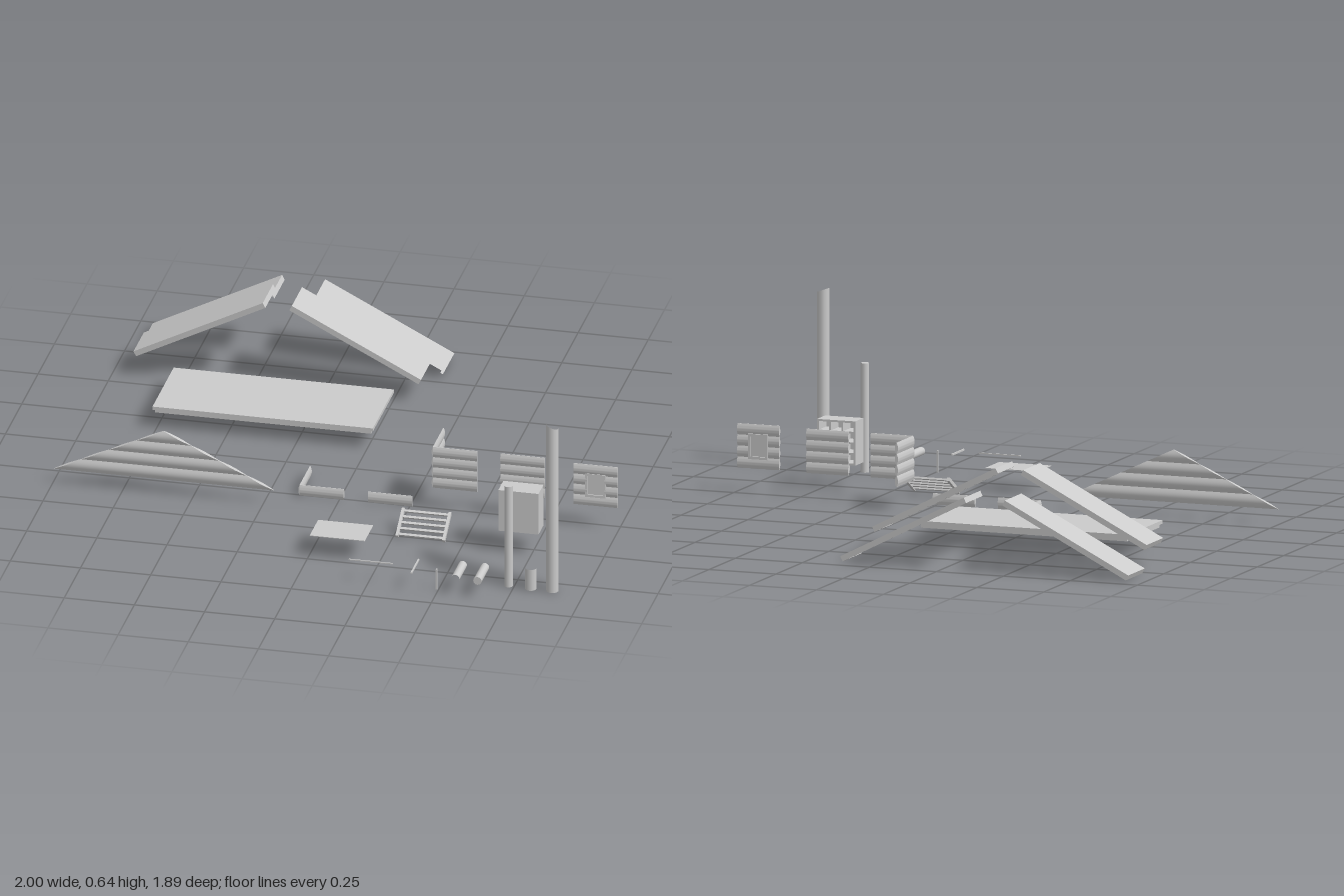
import * as THREE from 'three';
import { toCreasedNormals } from 'three/addons/utils/BufferGeometryUtils.js';

const material = new THREE.MeshStandardMaterial({ color: 0xcccccc });
const thinMaterial = new THREE.MeshStandardMaterial({ color: 0xcccccc, side: THREE.DoubleSide });

function add(parent, name, geometry, x = 0, y = 0, z = 0, mat = material) {
  const mesh = new THREE.Mesh(geometry, mat);
  mesh.name = name;
  mesh.position.set(x, y, z);
  parent.add(mesh);
  return mesh;
}

function group(parent, name, x = 0, y = 0, z = 0) {
  const g = new THREE.Group();
  g.name = name;
  g.position.set(x, y, z);
  parent.add(g);
  return g;
}

const box = (w, h, d) => new THREE.BoxGeometry(w, h, d);

// Box whose +z end is left open
function boxOpenFront(w, h, d) {
  const g = box(w, h, d);
  const index = Array.from(g.index.array);
  index.splice(24, 6);
  g.clearGroups();
  g.setIndex(index);
  return g;
}

// Stack of lens-shaped logs running along x from 0, bottom at y = 0
function logStack(length, rows, rowHeight, bulge = 0.006, taper = false) {
  const pts = [];
  const steps = 8;
  const core = 0.0012;
  for (let i = 0; i <= rows * steps; i++) {
    const t = (i % steps) / steps;
    pts.push(new THREE.Vector2(core + (bulge - core) * Math.sin(Math.PI * t), (i / steps) * rowHeight));
  }
  const mirrored = pts.map((p) => new THREE.Vector2(-p.x, p.y)).reverse();
  const g = new THREE.ExtrudeGeometry(new THREE.Shape([...pts, ...mirrored]), { depth: length, bevelEnabled: false });
  g.rotateY(Math.PI / 2);
  if (taper) {
    // Pull both ends in towards the ridge
    const p = g.attributes.position;
    const height = rows * rowHeight;
    for (let i = 0; i < p.count; i++) {
      const k = 1 - p.getY(i) / height;
      p.setX(i, length / 2 + (p.getX(i) - length / 2) * k);
    }
  }
  return toCreasedNormals(g, 0.5);
}

// Plate with a raised rim under its edges
function rimmedPanel(parent, name, w, d, t, inset, openFront) {
  const g = group(parent, name);
  const make = openFront ? boxOpenFront : box;
  const rim = 0.01;
  const half = t / 2;
  add(g, 'panelPlate', make(w, half, d), 0, half / 2, 0);
  for (const s of [-1, 1]) {
    add(g, 'panelSideRim', make(rim, half, d - 2 * inset), s * (w / 2 - inset - rim / 2), -half / 2, 0);
    if (s < 0 || !openFront) {
      add(g, 'panelEndRim', box(w - 2 * inset - 2 * rim, half, rim), 0, -half / 2, s * (d / 2 - inset - rim / 2));
    }
  }
  return g;
}

function roofPanels(model) {
  const slope = THREE.MathUtils.degToRad(27);
  const panels = [
    [-0.71, 0.13, -0.868, 1, true], [-0.105, 0.13, -0.868, -1, true],
    [-0.69, 0.2, -0.643, 1, false], [-0.135, 0.2, -0.643, -1, false],
  ];
  for (const [x, y, z, side, open] of panels) {
    const p = rimmedPanel(model, side > 0 ? 'roofPanelRising' : 'roofPanelFalling', 0.517, 0.157, 0.02, 0, open);
    p.position.set(x, y, z);
    p.rotation.z = side * slope;
  }
}

// Straight run plus optional return towards the back
function wall(model, name, x, y, z, rows, rowHeight, corner) {
  const g = group(model, name, x, y, z);
  add(g, 'logRun', logStack(0.157, rows, rowHeight));
  if (corner) {
    add(g, 'logReturn', logStack(0.157, rows, rowHeight)).rotation.y = Math.PI / 2;
  }
}

function windowWall(model) {
  const row = 0.039;
  const g = group(model, 'windowWall', 0.84, 0.084, 0.278);
  add(g, 'lowerLog', logStack(0.157, 1, row));
  add(g, 'upperLog', logStack(0.157, 1, row), 0, 3 * row);
  for (const x of [0, 0.109]) add(g, 'sideLogs', logStack(0.048, 2, row), x, row);
  // Frame and pane
  const cx = 0.0785, cy = 2 * row;
  for (const s of [-1, 1]) {
    add(g, 'windowJamb', box(0.009, 0.085, 0.015), cx + s * 0.032, cy, -0.002);
    add(g, 'windowRail', box(0.073, 0.009, 0.015), cx, cy + s * 0.04, -0.002);
  }
  add(g, 'windowPane', box(0.06, 0.076, 0.003), cx, cy, 0);
}

// Cabinet closed at the front, with compartments facing back
function cabinet(model) {
  const g = group(model, 'cabinet', 0.705, 0.16, 0.508);
  const w = 0.143, h = 0.156, d = 0.077, t = 0.007;
  add(g, 'cabinetFront', box(w, h, t), 0, 0, d / 2 - t / 2);
  for (let i = 0; i <= 3; i++) {
    add(g, 'cabinetUpright', box(t, h, d - t), -w / 2 + t / 2 + (i * (w - t)) / 3, 0, -t / 2);
  }
  for (let i = 0; i <= 4; i++) {
    add(g, 'cabinetShelf', box(w - 2 * t, t, d - t), 0, -h / 2 + t / 2 + (i * (h - t)) / 4, -t / 2);
  }
}

function ladder(model) {
  const g = group(model, 'ladder', 0.348, 0.036, 0.465);
  g.rotation.x = 0.55;
  for (const s of [-1, 1]) add(g, 'ladderRail', box(0.01, 0.013, 0.118), s * 0.083, 0, 0);
  for (let i = 0; i < 5; i++) add(g, 'ladderRung', box(0.16, 0.007, 0.009), 0, 0, -0.05 + i * 0.0245);
}

const pole = (r, h, open) => new THREE.CylinderGeometry(r, r, h, 12, 1, open);

function posts(model) {
  add(model, 'mediumPost', pole(0.015, 0.385, false), 0.73, 0.1925, 0.805);
  add(model, 'shortPost', pole(0.021, 0.08, true), 0.81, 0.04, 0.808);
  // Tall post with its top cut on a slant
  const tall = pole(0.022, 0.632, true);
  const p = tall.attributes.position;
  for (let i = 0; i < p.count; i++) {
    if (p.getY(i) > 0) p.setY(i, p.getY(i) - p.getX(i) * 0.35);
  }
  add(model, 'tallPost', tall, 0.887, 0.316, 0.808);
  // Lying logs
  add(model, 'openLog', pole(0.015, 0.117, true), 0.568, 0.065, 0.867).rotation.x = Math.PI / 2;
  add(model, 'cappedLog', pole(0.015, 0.117, false), 0.647, 0.065, 0.867).rotation.x = Math.PI / 2;
}

export function createModel() {
  const model = new THREE.Group();
  model.name = 'cabinKit';

  roofPanels(model);
  rimmedPanel(model, 'floorPanel', 0.785, 0.325, 0.025, 0.008, false).position.set(-0.372, 0.068, -0.328);
  add(model, 'gable', logStack(0.785, 4, 0.0465, 0.008, true), -0.998, 0.052, 0.342);

  // Foundation logs and walls
  wall(model, 'foundationCorner', -0.14, 0.003, 0.26, 1, 0.04, true);
  wall(model, 'foundationStraight', 0.103, 0.003, 0.26, 1, 0.04, false);
  wall(model, 'wallCorner', 0.335, 0.084, 0.26, 4, 0.039, true);
  wall(model, 'wallStraight', 0.575, 0.084, 0.26, 4, 0.039, false);
  windowWall(model);

  cabinet(model);
  ladder(model);
  posts(model);

  // Thin plate and trim strips along each axis
  add(model, 'thinPlate', box(0.196, 0.002, 0.13), 0.102, 0.08, 0.665, thinMaterial);
  add(model, 'crossTrim', box(0.157, 0.004, 0.004), 0.258, 0.079, 0.885);
  add(model, 'lengthTrim', box(0.005, 0.006, 0.115), 0.415, 0.077, 0.885);
  add(model, 'uprightTrim', box(0.005, 0.078, 0.005), 0.493, 0.039, 0.89);
  return model;
}
